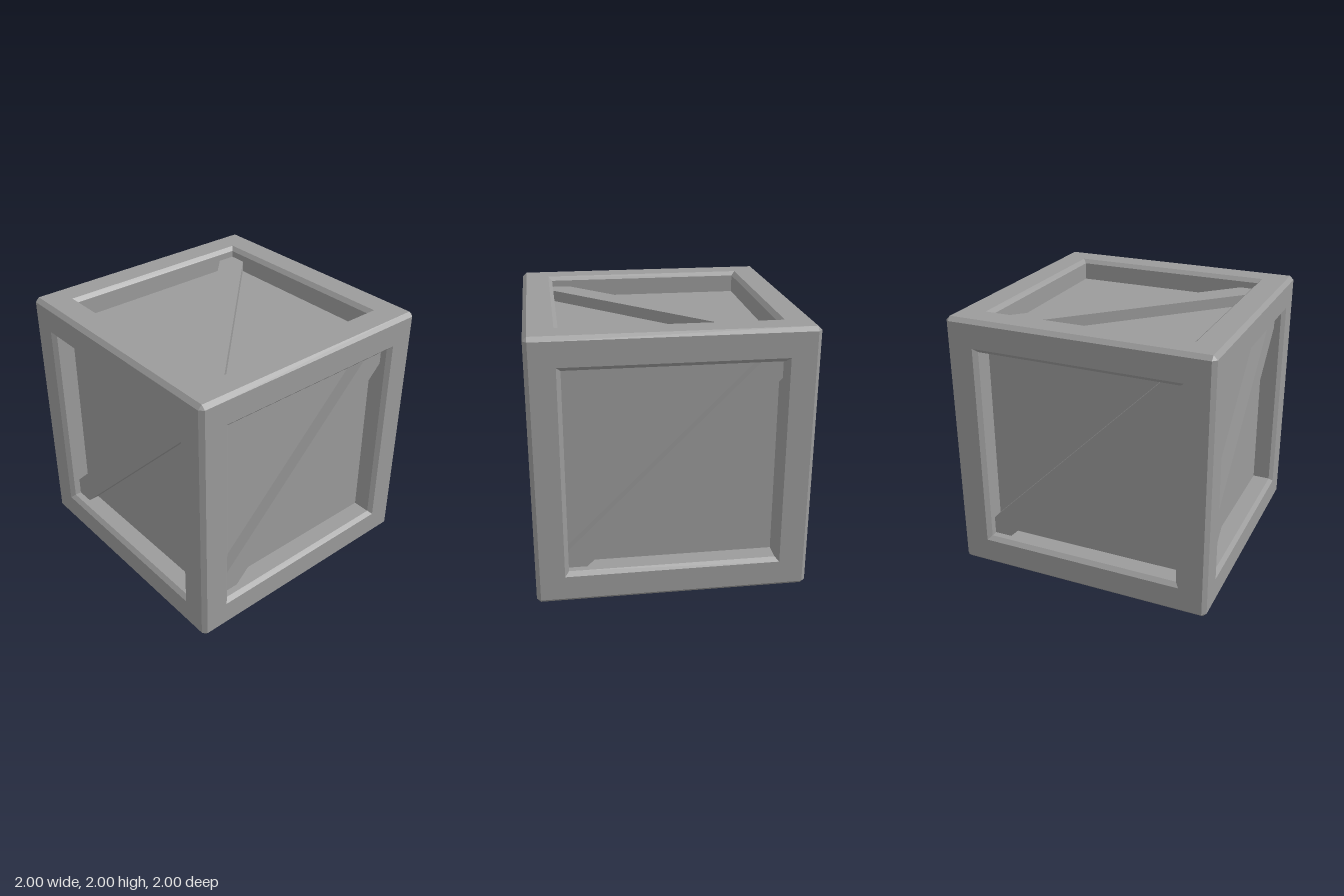
import * as THREE from 'three';

const HALF = 1;          // half the crate size
const BEVEL = 0.03;      // chamfer on all frame edges
const FLAT = HALF - BEVEL;
const OPENING = 0.79;    // half the opening at the outer face
const INNER = 0.76;      // half the recessed panel
const PANEL_Z = 0.835;   // distance of the panel from the centre
const BRACE_H = 0.085;   // thickness of the diagonal brace
const BRACE_W = 0.137;   // offset of the brace edges along x

const material = new THREE.MeshStandardMaterial({ color: 0x9b9b9b, flatShading: true });

function part(name, geometry) {
  const mesh = new THREE.Mesh(geometry, material);
  mesh.name = name;
  return mesh;
}

// Square frame with chamfered opening: a four-sided lathe turned to face +z
function frameGeometry() {
  const profile = [[FLAT, HALF], [OPENING, HALF], [INNER, FLAT], [INNER, PANEL_Z]]
    .map(([r, h]) => new THREE.Vector2(r * Math.SQRT2, h));
  const geometry = new THREE.LatheGeometry(profile, 4, Math.PI / 4).toNonIndexed();
  geometry.computeVertexNormals();
  return geometry.rotateX(Math.PI / 2);
}

// Diagonal plank trimmed to the square panel
function braceGeometry() {
  const a = INNER, b = INNER - BRACE_W;
  const outline = [[-a, -a], [-b, -a], [a, b], [a, a], [b, a], [-a, -b]]
    .map(([x, y]) => new THREE.Vector2(x, y));
  return new THREE.ExtrudeGeometry(new THREE.Shape(outline), { depth: BRACE_H, bevelEnabled: false })
    .translate(0, 0, PANEL_Z);
}

// Chamfer strip along the top front edge
function edgeGeometry() {
  const d = HALF - BEVEL / 2;
  return new THREE.PlaneGeometry(2 * FLAT, BEVEL * Math.SQRT2)
    .rotateX(-Math.PI / 4)
    .translate(0, d, d);
}

// Small triangle that closes the chamfers at one corner
function cornerGeometry() {
  const geometry = new THREE.BufferGeometry();
  geometry.setAttribute('position', new THREE.Float32BufferAttribute(
    [HALF, FLAT, FLAT, FLAT, HALF, FLAT, FLAT, FLAT, HALF], 3));
  geometry.computeVertexNormals();
  return geometry;
}

export function createModel() {
  const crate = new THREE.Group();
  crate.name = 'crate';
  const body = new THREE.Group();
  body.name = 'crateBody';
  body.position.y = HALF;
  crate.add(body);

  // Six identical sides, each a frame, a recessed panel and a brace
  const frame = frameGeometry();
  const panel = new THREE.PlaneGeometry(2 * INNER, 2 * INNER).translate(0, 0, PANEL_Z);
  const brace = braceGeometry();
  const q = Math.PI / 2;
  const sides = [
    ['front', 0, 0], ['left', 0, q], ['back', 0, 2 * q], ['right', 0, -q],
    ['top', -q, 0], ['bottom', q, 0],
  ];
  for (const [name, rx, ry] of sides) {
    const side = new THREE.Group();
    side.name = name + 'Side';
    side.rotation.set(rx, ry, 0);
    side.add(part('frame', frame), part('panel', panel), part('brace', brace));
    body.add(side);
  }

  // Chamfered edges and corners, repeated by quarter turns
  const edge = edgeGeometry();
  const upright = edge.clone().rotateZ(q);
  const corner = cornerGeometry();
  for (let i = 0; i < 4; i++) {
    const post = part('uprightEdge', upright);
    post.rotation.y = i * q;
    body.add(post);
    for (const [level, flip] of [['top', 0], ['bottom', Math.PI]]) {
      const trim = new THREE.Group();
      trim.name = level + 'Trim';
      trim.rotation.set(flip, i * q, 0);
      trim.add(part('edge', edge), part('corner', corner));
      body.add(trim);
    }
  }
  return crate;
}
